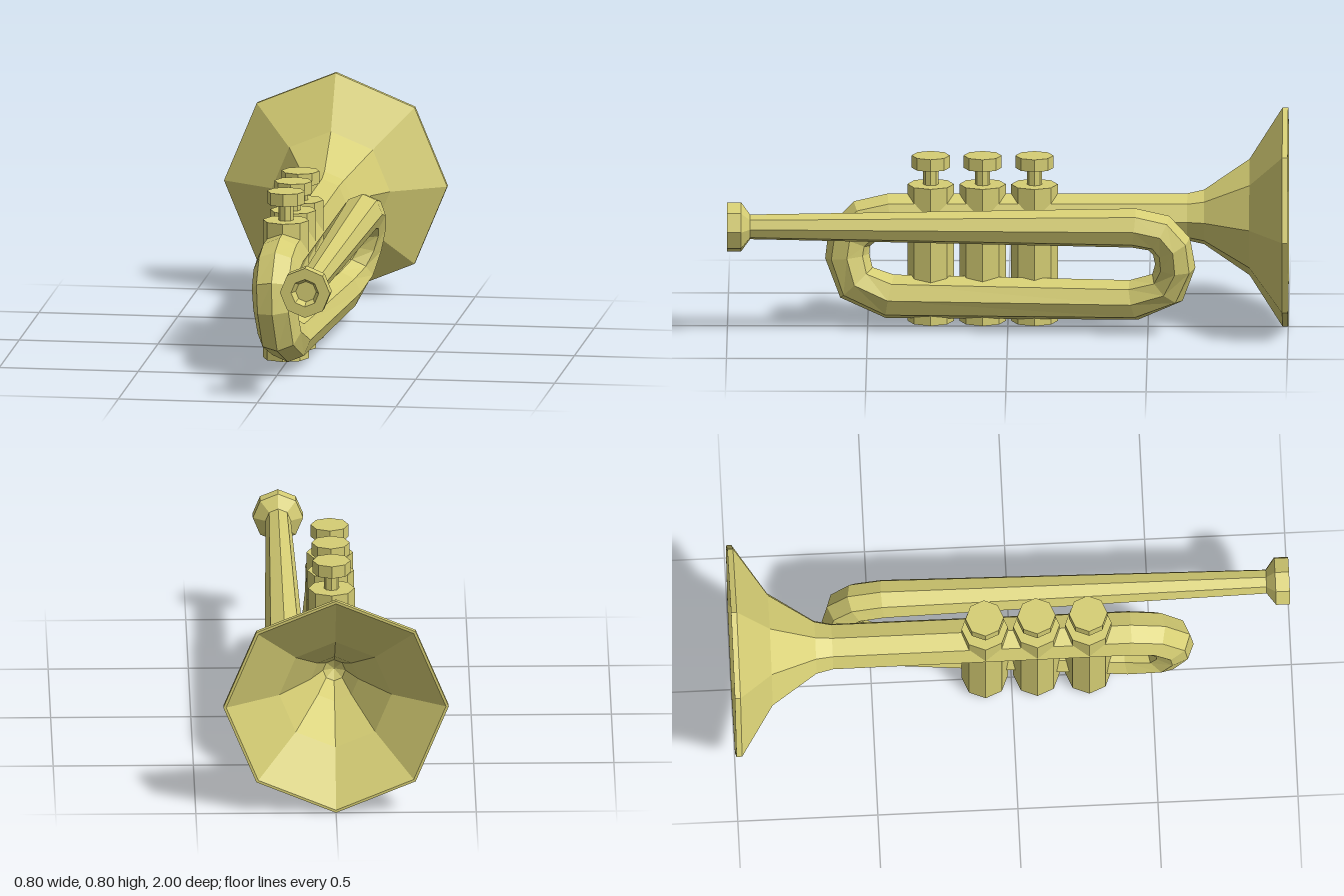
import * as THREE from 'three';

const SIDES = 8;

// Faceted look: split the faces and give each its own normal
function facet(geometry) {
  const g = geometry.index ? geometry.toNonIndexed() : geometry;
  g.computeVertexNormals();
  return g;
}

// Octagonal pipe swept along stations [x, y, z, radius]
function sweptPipe(stations) {
  const centres = stations.map(([x, y, z]) => new THREE.Vector3(x, y, z));
  const last = centres.length - 1;
  const positions = [];
  const index = [];
  centres.forEach((c, i) => {
    const before = c.clone().sub(centres[Math.max(i - 1, 0)]).normalize();
    const after = centres[Math.min(i + 1, last)].clone().sub(c).normalize();
    const tangent = before.add(after).normalize();
    const side = new THREE.Vector3(1, 0, 0).addScaledVector(tangent, -tangent.x).normalize();
    const up = new THREE.Vector3().crossVectors(tangent, side);
    for (let j = 0; j < SIDES; j++) {
      const a = (j / SIDES) * Math.PI * 2;
      const p = c.clone()
        .addScaledVector(side, Math.cos(a) * stations[i][3])
        .addScaledVector(up, Math.sin(a) * stations[i][3]);
      positions.push(p.x, p.y, p.z);
      if (i < last) {
        const k = (j + 1) % SIDES;
        const r0 = i * SIDES, r1 = r0 + SIDES;
        index.push(r0 + j, r0 + k, r1 + k, r0 + j, r1 + k, r1 + j);
      }
    }
  });
  const g = new THREE.BufferGeometry();
  g.setAttribute('position', new THREE.Float32BufferAttribute(positions, 3));
  g.setIndex(index);
  return facet(g);
}

// Octagonal turned part from [radius, height] pairs
function turned(profile) {
  return new THREE.LatheGeometry(profile.map(([r, h]) => new THREE.Vector2(r, h)), SIDES);
}

export function createModel() {
  const model = new THREE.Group();
  model.name = 'trumpet';
  const brass = new THREE.MeshStandardMaterial({ color: 0xd6ce74 });
  brass.name = 'brass';

  function add(parent, name, geometry, x = 0, y = 0, z = 0) {
    const mesh = new THREE.Mesh(geometry, brass);
    mesh.name = name;
    mesh.position.set(x, y, z);
    parent.add(mesh);
  }

  // One continuous pipe: bell tube, front bend, lower tube, rear bend, lead pipe
  add(model, 'tubing', sweptPipe([
    [0, 0.404, -0.64, 0.086],
    [0, 0.404, 0.42, 0.084],
    [0, 0.386, 0.51, 0.083],
    [0, 0.33, 0.565, 0.081],
    [0.004, 0.26, 0.573, 0.079],
    [0.015, 0.165, 0.54, 0.08],
    [0.03, 0.118, 0.42, 0.081],
    [0.095, 0.122, -0.45, 0.074],
    [0.125, 0.175, -0.57, 0.073],
    [0.15, 0.26, -0.598, 0.072],
    [0.165, 0.335, -0.585, 0.073],
    [0.17, 0.385, -0.54, 0.073],
    [0.172, 0.404, -0.45, 0.072],
    [0.172, 0.406, 0.93, 0.045],
  ]));

  // Flared bell with a thin rim and a hollow inside
  const bell = turned([
    [0.086, 0.64], [0.1, 0.7], [0.213, 0.862], [0.402, 0.98], [0.402, 1],
    [0.392, 1], [0.2, 0.872], [0.085, 0.71], [0.04, 0.62], [0, 0.6],
  ]).rotateX(-Math.PI / 2);
  add(model, 'bell', facet(bell), 0, 0.404, 0);

  // Mouthpiece cup
  const mouthpiece = turned([
    [0.044, 0.9], [0.045, 0.918], [0.09, 0.95], [0.09, 1],
    [0.05, 1], [0.037, 0.972], [0, 0.972],
  ]).rotateX(Math.PI / 2);
  add(model, 'mouthpiece', facet(mouthpiece), 0.172, 0.406, 0);

  // Three valves, each with casing, stem and finger button
  [0.275, 0.09, -0.095].forEach((z, i) => {
    const valve = new THREE.Group();
    valve.name = `valve${i + 1}`;
    valve.position.z = z;
    const cylinder = (name, r, bottom, top) => add(valve, name,
      facet(new THREE.CylinderGeometry(r, r, top - bottom, SIDES)), 0, (bottom + top) / 2, 0);
    cylinder('casing', 0.083, 0.022, 0.523);
    cylinder('stem', 0.027, 0.52, 0.585);
    cylinder('button', 0.068, 0.583, 0.628);
    model.add(valve);
  });

  return model;
}
